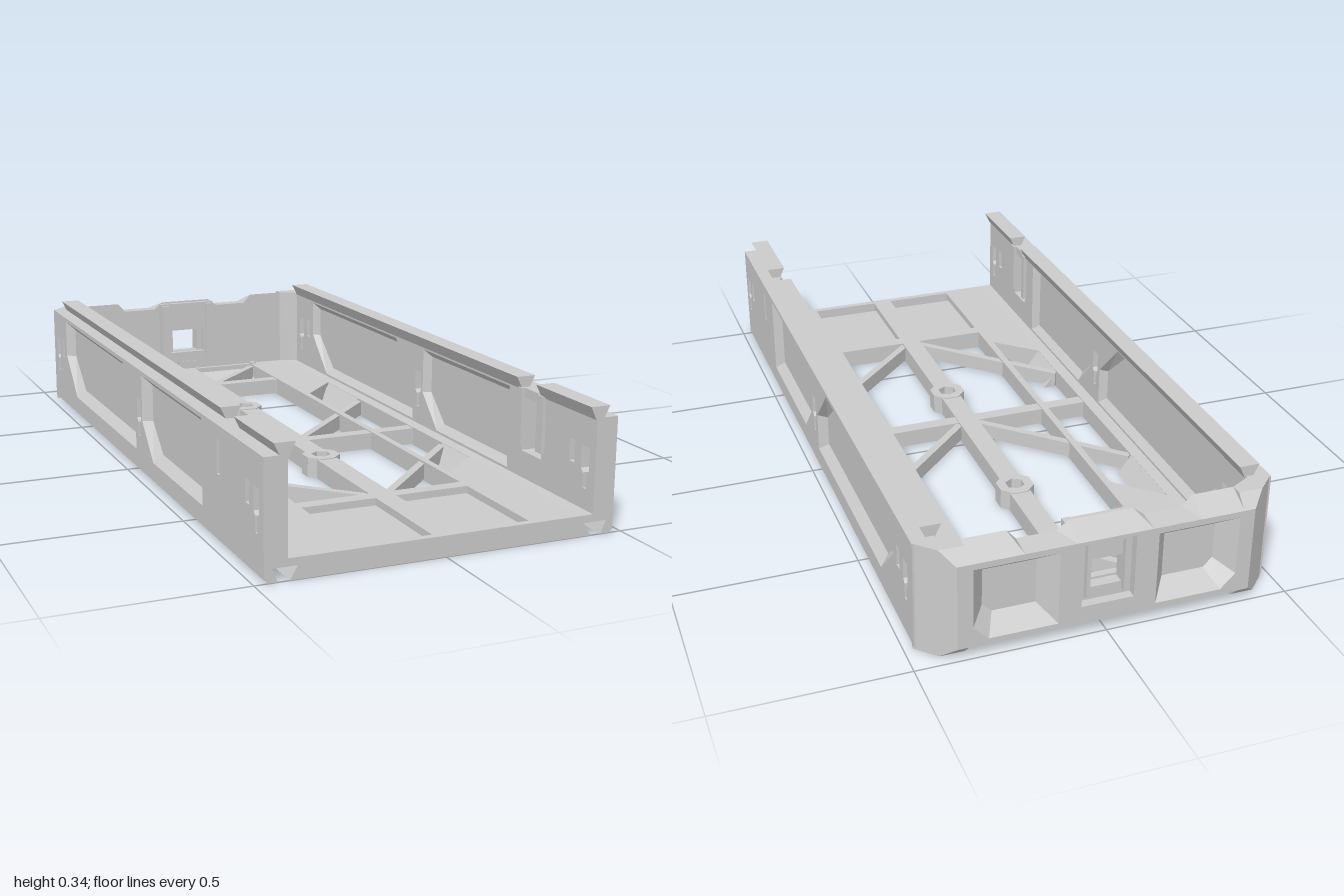
import * as THREE from 'three';
import { mergeGeometries } from 'three/addons/utils/BufferGeometryUtils.js';
import { ConvexGeometry } from 'three/addons/geometries/ConvexGeometry.js';

const solid = new THREE.MeshStandardMaterial({ color: 0xcccccc, flatShading: true });
const open = new THREE.MeshStandardMaterial({ color: 0xcccccc, flatShading: true, side: THREE.DoubleSide });

const toShape = (pts) => new THREE.Shape(pts.map(([x, y]) => new THREE.Vector2(x, y)));
const rect = (x0, x1, y0, y1) => [[x0, y0], [x1, y0], [x1, y1], [x0, y1]];
const ngon = (n, r, cx, cy, turn = 0) => Array.from({ length: n }, (_, i) => {
  const a = turn + (i * 2 * Math.PI) / n;
  return [cx + r * Math.cos(a), cy + r * Math.sin(a)];
});

function extrude(pts, depth, holes = []) {
  const s = toShape(pts);
  s.holes = holes.map(toShape);
  return new THREE.ExtrudeGeometry(s, { depth, bevelEnabled: false });
}

function box(x0, x1, y0, y1, z0, z1) {
  return new THREE.BoxGeometry(x1 - x0, y1 - y0, z1 - z0)
    .translate((x0 + x1) / 2, (y0 + y1) / 2, (z0 + z1) / 2);
}

// Mirror across x = 0, keeping faces outward
function mirrored(geo) {
  const g = geo.index ? geo.toNonIndexed() : geo.clone();
  g.scale(-1, 1, 1);
  for (const attr of Object.values(g.attributes)) {
    const n = attr.itemSize, a = attr.array;
    for (let i = 0; i < a.length; i += 3 * n)
      for (let k = 0; k < n; k++) {
        const t = a[i + n + k];
        a[i + n + k] = a[i + 2 * n + k];
        a[i + 2 * n + k] = t;
      }
  }
  g.computeVertexNormals();
  return g;
}

// Shrink a polygon toward the middle of its bounds by a fixed border
function inset(pts, b) {
  const xs = pts.map((p) => p[0]), ys = pts.map((p) => p[1]);
  const x0 = Math.min(...xs), x1 = Math.max(...xs), y0 = Math.min(...ys), y1 = Math.max(...ys);
  const cx = (x0 + x1) / 2, cy = (y0 + y1) / 2;
  const sx = 1 - (2 * b) / (x1 - x0), sy = 1 - (2 * b) / (y1 - y0);
  return pts.map(([x, y]) => [cx + (x - cx) * sx, cy + (y - cy) * sy]);
}

// Sloped pocket: bevel ring from surface depth d0 down to a flat base at d1
function pocket(pts, border, d0, d1) {
  const inner = inset(pts, border), pos = [];
  pts.forEach((p, i) => {
    const j = (i + 1) % pts.length;
    const a = [...p, d0], b = [...pts[j], d0], c = [...inner[j], d1], d = [...inner[i], d1];
    pos.push(...a, ...b, ...c, ...a, ...c, ...d);
  });
  const ring = new THREE.BufferGeometry();
  ring.setAttribute('position', new THREE.Float32BufferAttribute(pos, 3));
  ring.computeVertexNormals();
  const base = new THREE.ShapeGeometry(toShape(inner)).toNonIndexed().translate(0, 0, d1);
  base.deleteAttribute('uv');
  return mergeGeometries([ring, base]);
}

export function createModel() {
  const root = new THREE.Group();
  const add = (name, geo, mat = solid) => {
    const m = new THREE.Mesh(geo, mat);
    m.name = name;
    root.add(m);
  };
  const pair = (name, geo, mat = solid) => {
    add(name + 'Left', geo, mat);
    add(name + 'Right', mirrored(geo), mat);
  };

  // Side walls, drawn in (-z, y), with slots and bevelled pockets on both faces
  const T = 0.06;
  const stand = (g) => g.rotateY(Math.PI / 2).translate(0.415, 0, 0);
  const keyhole = (u) => [[u - 0.008, 0.11], [u + 0.008, 0.11], [u + 0.008, 0.15], [u + 0.018, 0.16],
    [u + 0.018, 0.22], [u - 0.018, 0.22], [u - 0.018, 0.16], [u - 0.008, 0.15]];
  const smallSlot = (u) => rect(u - 0.013, u + 0.013, 0.165, 0.225);
  const pockets = [
    [[-0.58, 0.063], [-0.17, 0.063], [-0.075, 0.16], [-0.075, 0.293], [-0.58, 0.293]],
    [[-0.012, 0.063], [0.64, 0.063], [0.76, 0.18], [0.76, 0.293], [0.11, 0.293], [-0.012, 0.175]],
  ];
  const clipBay = rect(-0.75, -0.65, 0.13, 0.28);
  pair('sideWall', stand(extrude(rect(-1, 0.92, 0.055, 0.305), T, [
    ...pockets, clipBay, keyhole(-0.955), keyhole(-0.045), keyhole(0.86), smallSlot(-0.895), smallSlot(0.8)])));
  for (const p of pockets) {
    pair('outerPocket', stand(pocket(p, 0.025, T, T - 0.025)), open);
    pair('innerPocket', stand(pocket(p, 0.02, 0, 0.02)), open);
  }
  pair('clipBayPlate', stand(extrude(clipBay, 0.015, [rect(-0.71, -0.69, 0.18, 0.27)]).translate(0, 0, T - 0.015)));
  for (const z of [0.89, -0.8])
    pair('slotCatch', box(0.43, 0.46, 0.185, 0.205, z - 0.013, z + 0.013));
  pair('clip', box(0.405, 0.425, 0.15, 0.305, 0.735, 0.765));
  pair('clipTooth', box(0.405, 0.425, 0.15, 0.305, 0.64, 0.66));

  // Dovetail rails above the walls
  const rail = [[0.412, 0.3], [0.433, 0.3], [0.45, 0.335], [0.395, 0.335]];
  pair('topRail', extrude(rail, 1.55).translate(0, 0, -0.9));
  pair('topRailFront', extrude(rail, 0.255).translate(0, 0, 0.745));

  // Bottom edge beams with matching dovetail grooves
  pair('grooveBeam', extrude([[0.38, 0], [0.41, 0], [0.39, 0.035], [0.455, 0.035], [0.44, 0], [0.465, 0],
    [0.475, 0.01], [0.475, 0.057], [0.38, 0.055]], 1.92).translate(0, 0, -0.92));

  // Floor plate, drawn in (x, -z)
  const lay = (g, y = 0) => g.rotateX(-Math.PI / 2).translate(0, y, 0);
  const sideHole = [[0.26, 0.43], [0.38, 0.55], [0.38, -0.43], [0.26, -0.54]];
  const halfHoles = [rect(0.03, 0.24, -0.63, 0.92), rect(0.03, 0.24, -0.98, -0.67), sideHole];
  const bossZ = [-0.355, 0.25];
  const hexes = bossZ.map((z) => ngon(6, 0.028, 0, -z, Math.PI / 6));
  add('floor', lay(extrude(rect(-0.38, 0.38, -1, 0.935), 0.055, [
    ...halfHoles, ...halfHoles.map((h) => h.map(([x, y]) => [-x, y])), ...hexes])));
  pair('floorPanel', box(0.03, 0.24, 0, 0.035, 0.67, 0.96));
  bossZ.forEach((z, i) =>
    add('hexBoss', lay(extrude(ngon(8, 0.054, 0, -z, Math.PI / 8), 0.058, [hexes[i]]))));

  // Cross bars and diagonal struts
  pair('rearCrossBar', box(0.03, 0.24, 0.003, 0.052, -0.71, -0.67));
  pair('middleCrossBar', box(0.03, 0.39, 0.003, 0.052, 0.045, 0.085));
  const struts = [[0.38, -0.3, 0.02, 0.05], [0.38, 0.27, 0.02, 0.63], [0.24, -0.91, 0.02, -0.7]];
  for (const [x0, z0, x1, z1] of struts) {
    const g = new THREE.BoxGeometry(Math.hypot(x1 - x0, z1 - z0), 0.045, 0.022);
    g.rotateY(-Math.atan2(z1 - z0, x1 - x0)).translate((x0 + x1) / 2, 0.027, (z0 + z1) / 2);
    pair('diagonalStrut', g);
  }

  // Sloped edges of the floor openings
  for (const [z0, z1] of [[-0.54, -0.31], [0.27, 0.43]])
    pair('openingSlope', extrude([[0.38, 0], [0.38, 0.054], [0.34, 0]], z1 - z0).translate(0, 0, z0));
  add('rearSlope', extrude([[0.935, 0], [0.935, 0.054], [0.88, 0]], 0.48)
    .rotateY(Math.PI / 2).translate(-0.24, 0, 0));

  // Rear wall with dipped top edge, sloped top and bottom, and outer pockets
  const half = [[0.4, 0], [0.4, 0.305], [0.245, 0.305], [0.22, 0.277], [0.115, 0.277], [0.085, 0.3]];
  const outline = [...half, ...half.map(([x, y]) => [-x, y]).reverse()];
  const rearPocket = [[0.13, 0.05], [0.31, 0.05], [0.35, 0.09], [0.35, 0.255], [0.13, 0.255]];
  const bay = rect(-0.07, 0.07, 0.085, 0.262);
  const rear = extrude(outline, 0.065, [rearPocket, rearPocket.map(([x, y]) => [-x, y]), bay]);
  const rp = rear.attributes.position;
  for (let i = 0; i < rp.count; i++)
    if (rp.getZ(i) > 0.06) {
      rp.setY(i, THREE.MathUtils.clamp(rp.getY(i), 0.035, 0.272));
      rp.setX(i, THREE.MathUtils.clamp(rp.getX(i), -0.39, 0.39));
    }
  rear.computeVertexNormals();
  const face = (g) => g.rotateY(Math.PI).translate(0, 0, -0.935);
  add('rearWall', face(rear));
  pair('rearPocket', face(pocket(rearPocket, 0.04, 0.065, 0.012)), open);
  pair('rearPocketBack', face(new THREE.ShapeGeometry(toShape(rearPocket))), open);

  // Chamfered rear corner posts
  const corner = [];
  for (const y of [0, 0.305]) {
    const yb = y ? 0.27 : 0.035;
    for (const p of [[0.36, y, -0.935], [0.415, y, -0.905], [0.475, y, -0.905], [0.475, y, -0.915],
      [0.425, y, -0.965], [0.36, y, -0.965], [0.36, yb, -1], [0.39, yb, -1]])
      corner.push(new THREE.Vector3(...p));
  }
  pair('cornerPost', new ConvexGeometry(corner));

  // Latch housing in the middle of the rear wall
  const windowHole = rect(-0.045, 0.045, 0.12, 0.2);
  add('latchPlate', extrude(bay, 0.03, [windowHole]).translate(0, 0, -0.975));
  add('latchHousing', extrude(rect(-0.095, 0.095, 0.085, 0.295), 0.02,
    [rect(-0.06, 0.06, 0.12, 0.2)]).translate(0, 0, -0.937));
  pair('latchRib', box(0.068, 0.092, 0.085, 0.29, -0.92, -0.907));
  pair('latchGuide', box(0.045, 0.055, 0.1, 0.26, -0.992, -0.97));
  add('latchTab', box(-0.033, 0.033, 0.075, 0.087, -0.94, -0.915));
  pair('floorNib', box(0.238, 0.258, 0.054, 0.06, -0.935, -0.915));
  return root;
}
